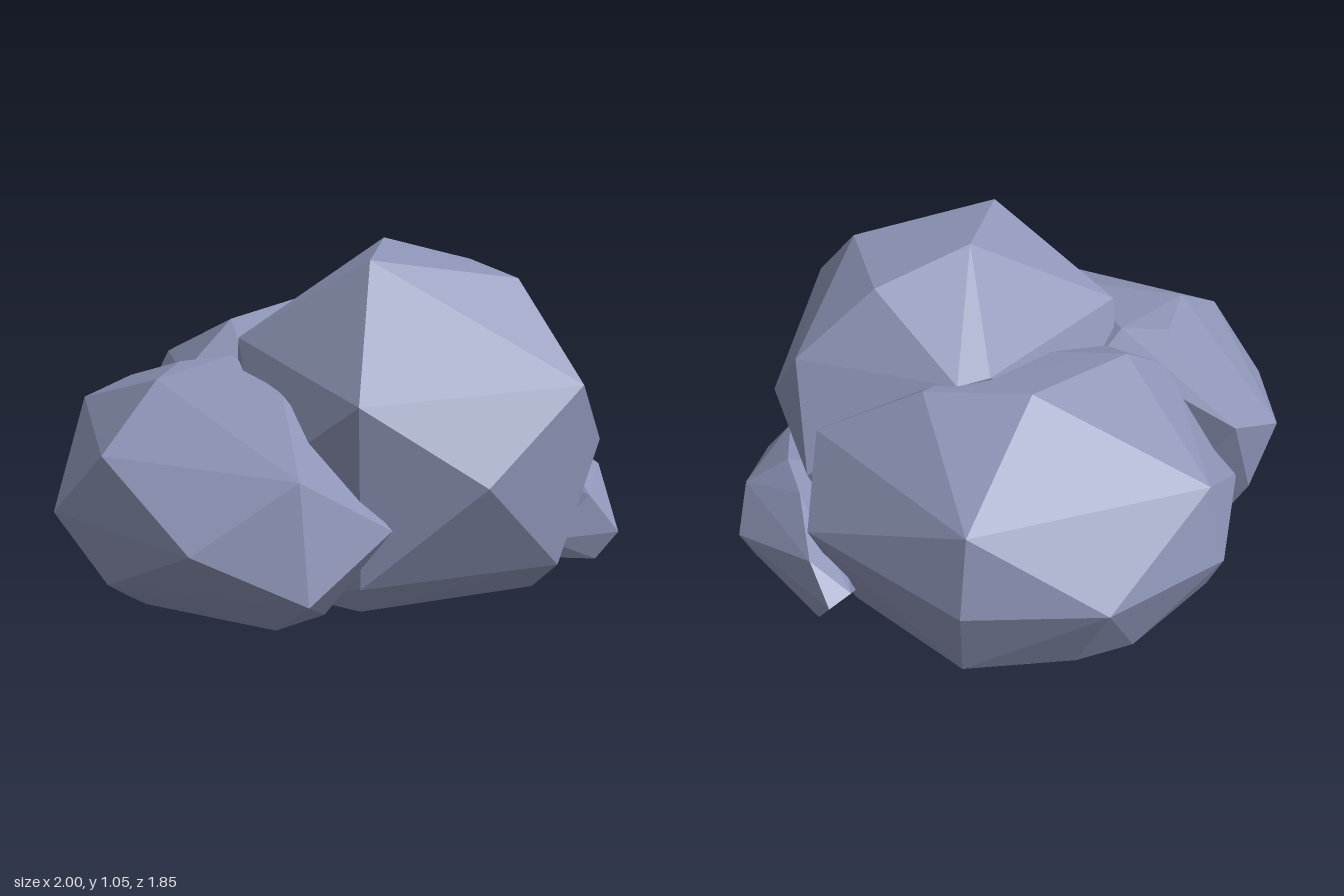
import * as THREE from 'three';
import { ConvexGeometry } from 'three/addons/geometries/ConvexGeometry.js';

const stone = new THREE.MeshStandardMaterial({ color: 0x8e95b7, flatShading: true, side: THREE.DoubleSide });

// One faceted boulder: the hull of its corner points, cut flat at the ground.
// An open boulder has no underside.
function boulder(name, corners, open = false) {
  const geometry = new ConvexGeometry(corners.map((c) => new THREE.Vector3(...c)));
  if (open) {
    const pos = geometry.getAttribute('position');
    const index = [];
    for (let i = 0; i < pos.count; i += 3) {
      const top = Math.max(pos.getY(i), pos.getY(i + 1), pos.getY(i + 2));
      if (top > 0.001) index.push(i, i + 1, i + 2);
    }
    geometry.setIndex(index);
  }
  const mesh = new THREE.Mesh(geometry, stone);
  mesh.name = name;
  return mesh;
}

export function createModel() {
  const group = new THREE.Group();
  group.name = 'rockCluster';

  group.add(boulder('mainBoulder', [
    // crown
    [0.15, 1.055, 0.10], [-0.04, 1.04, 0.42], [0.45, 0.96, 0.47], [0.48, 0.96, 0.08],
    // shoulders
    [-0.23, 0.68, 0.78], [0.51, 0.68, 0.79], [0.75, 0.74, 0.10],
    [-0.36, 0.76, 0.10], [0.20, 0.76, -0.25], [0.31, 0.75, -0.25],
    // waist
    [0.13, 0.43, 0.91], [0.77, 0.40, 0.48], [0.78, 0.42, -0.10], [-0.42, 0.40, 0.45], [-0.3, 0.4, -0.1],
    // foot
    [-0.2, 0.1, 0.73], [0.47, 0.09, 0.74], [-0.17, 0, 0.66], [0.42, 0, 0.67],
    [0.57, 0, 0.45], [0.62, 0, 0.05], [-0.32, 0, 0.45], [-0.2, 0, -0.1],
  ], true));

  group.add(boulder('backBoulder', [
    // crown
    [0.12, 0.785, -0.42], [-0.27, 0.75, -0.24], [0.42, 0.75, -0.24], [0.1, 0.7, 0],
    // shoulders
    [-0.35, 0.54, -0.74], [0.44, 0.54, -0.74], [0.73, 0.56, -0.06], [-0.48, 0.6, -0.13],
    [-0.3, 0.63, 0.02],
    // waist
    [0.05, 0.28, -0.925], [0.48, 0.28, -0.79], [-0.39, 0.28, -0.79],
    [0.82, 0.3, -0.24], [-0.62, 0.3, -0.4], [0.74, 0.35, 0],
    // foot
    [0.1, 0, -0.78], [0.45, 0, -0.7], [-0.1, 0, -0.77], [-0.45, 0, -0.57], [-0.5, 0, -0.4],
    [0.68, 0, -0.25], [0.5, 0, 0], [-0.3, 0, 0],
  ]));

  group.add(boulder('sideBoulder', [
    // crown and shoulders
    [-0.66, 0.67, 0.19], [-0.36, 0.685, 0.02], [-0.52, 0.67, -0.02], [-0.89, 0.5, 0.38],
    [-0.44, 0.5, 0.85], [-0.57, 0.53, -0.46], [-0.34, 0.65, 0.45], [-0.27, 0.63, -0.03],
    // waist
    [-1, 0.28, 0.19], [-0.75, 0.3, 0.79], [-0.13, 0.3, 0.8], [-0.75, 0.48, -0.41], [-0.66, 0.25, -0.42],
    // foot
    [-0.44, 0.15, 0.92], [-0.89, 0.1, 0.4], [-0.81, 0.02, 0.3], [-0.76, 0, 0.35], [-0.77, 0, 0.08],
    [-0.46, 0, 0.7], [-0.28, 0, 0.64], [-0.56, 0, -0.32], [-0.3, 0, -0.25],
  ]));

  group.add(boulder('smallRock', [
    // ridge
    [0.8, 0.33, 0.14], [0.8, 0.31, -0.04], [0.94, 0.22, 0.21], [0.72, 0.22, 0.51], [0.83, 0.22, -0.29],
    // outer rim
    [1, 0.1, 0.08], [0.8, 0.1, 0.57], [0.8, 0.1, -0.4], [0.72, 0.12, -0.37],
    // inner side and foot
    [0.58, 0.07, 0.48], [0.65, 0.24, 0.2], [0.74, 0, 0.53], [0.64, 0, 0.48],
    [0.62, 0, 0.3], [0.95, 0, 0.08], [0.9, 0, 0.32], [0.82, 0, -0.31], [0.65, 0, -0.2],
  ], true));

  return group;
}
